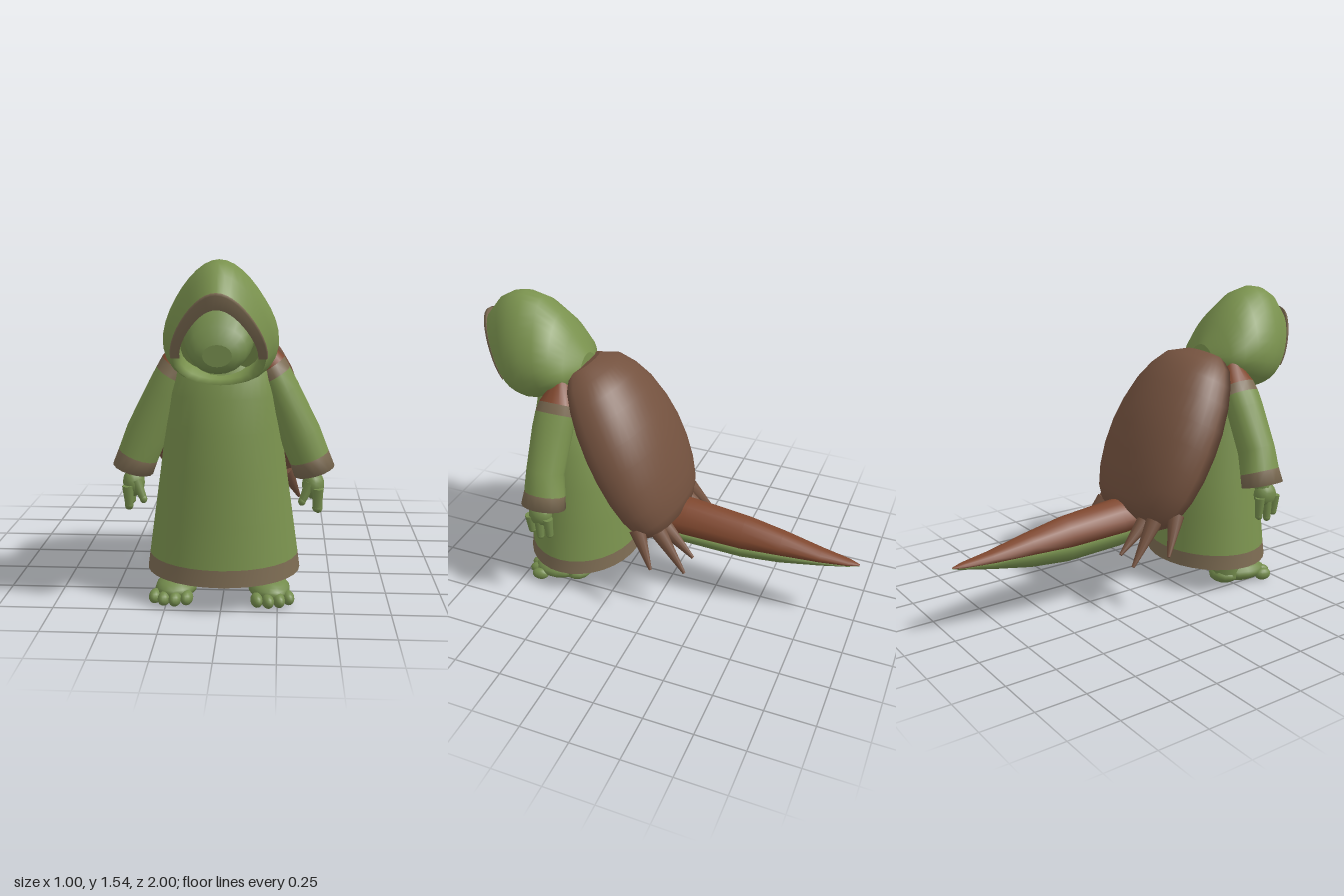
import * as THREE from 'three';

const material = (name, color, side = THREE.FrontSide) => {
  const m = new THREE.MeshStandardMaterial({ color, side });
  m.name = name;
  return m;
};

const V = (x, y, z) => new THREE.Vector3(x, y, z);

// Skin a list of point rings; faces are turned outward from the centroid
function loft(rings, { closed = true, capStart = false, capEnd = false } = {}) {
  const pos = [], idx = [], n = rings[0].length;
  const centre = V(0, 0, 0);
  rings.forEach(r => r.forEach(p => { pos.push(p.x, p.y, p.z); centre.add(p); }));
  centre.divideScalar(rings.length * n);
  for (let i = 0; i < rings.length - 1; i++) {
    for (let j = 0; j < (closed ? n : n - 1); j++) {
      const a = i * n + j, b = i * n + (j + 1) % n;
      idx.push(a, b, a + n, b, b + n, a + n);
    }
  }
  const cap = (ring, flip) => {
    const base = pos.length / 3, mid = V(0, 0, 0);
    ring.forEach(p => { pos.push(p.x, p.y, p.z); mid.add(p); });
    mid.divideScalar(n);
    pos.push(mid.x, mid.y, mid.z);
    for (let j = 0; j < n; j++) {
      const a = base + j, b = base + (j + 1) % n;
      idx.push(...(flip ? [b, a, base + n] : [a, b, base + n]));
    }
  };
  if (capStart) cap(rings[0], true);
  if (capEnd) cap(rings[rings.length - 1], false);
  const at = i => V(pos[3 * i], pos[3 * i + 1], pos[3 * i + 2]).sub(centre);
  let volume = 0;
  for (let i = 0; i < idx.length; i += 3) volume += at(idx[i]).dot(at(idx[i + 1]).cross(at(idx[i + 2])));
  if (volume < 0) idx.reverse();
  const g = new THREE.BufferGeometry();
  g.setAttribute('position', new THREE.Float32BufferAttribute(pos, 3));
  g.setIndex(idx);
  g.computeVertexNormals();
  return g;
}

// Points of an arc, made by f(angle)
const arc = (n, from, to, f, closed = true) =>
  Array.from({ length: n }, (_, i) => f(from + (to - from) * i / (closed ? n : n - 1)));
const TAU = Math.PI * 2;

export function createModel() {
  const model = new THREE.Group();
  const cloth = material('green cloth', 0x7a924e);
  const hoodCloth = material('green hood cloth', 0x7a924e, THREE.DoubleSide);
  const skin = material('green skin', 0x738b4c);
  const trim = material('tan trim', 0x7c6b52, THREE.DoubleSide);
  const shellBrown = material('shell brown', 0x74523f);
  const rust = material('rust brown', 0x80482f);

  const add = (name, geometry, mat, parent = model) => {
    const mesh = new THREE.Mesh(geometry, mat);
    mesh.name = name;
    parent.add(mesh);
    return mesh;
  };
  const blob = (name, mat, parent, p, r) => {
    const m = add(name, new THREE.SphereGeometry(1, 14, 10), mat, parent);
    m.position.set(...p);
    m.scale.set(...r);
    return m;
  };
  // Tapered limb between two points
  const limb = (name, mat, parent, a, b, r0, r1) => {
    const from = V(...a), dir = V(...b).sub(from), len = dir.length();
    const m = add(name, new THREE.CylinderGeometry(r1, r0, len, 9), mat, parent);
    m.position.copy(from).addScaledVector(dir, 0.5);
    m.quaternion.setFromUnitVectors(V(0, 1, 0), dir.normalize());
    return m;
  };

  // Robe: stacked ellipses [y, centre z, half width, half depth]
  const robeRing = ([y, cz, rx, rz]) => arc(32, 0, TAU, a => V(rx * Math.cos(a), y, cz + rz * Math.sin(a)));
  const hem = [[0.13, 0.505, 0.35, 0.295], [0.205, 0.505, 0.34, 0.287]];
  add('robeHem', loft(hem.map(robeRing)), trim);
  const base = new THREE.Shape().absellipse(0, 0, 0.35, 0.295, 0, TAU);
  const underside = add('robeUnderside', new THREE.ShapeGeometry(base, 32), cloth);
  underside.rotation.x = Math.PI / 2;
  underside.position.set(0, 0.131, 0.505);
  add('robe', loft([hem[1], [0.4, 0.507, 0.313, 0.27], [0.6, 0.512, 0.285, 0.253], [0.8, 0.53, 0.258, 0.22],
    [0.95, 0.55, 0.238, 0.175], [1.05, 0.55, 0.215, 0.155], [1.14, 0.55, 0.16, 0.12]].map(robeRing),
  { capEnd: true }), cloth);

  // Hood: slanted egg-shaped rings [top y, top z, bottom y, bottom z, half width]
  const hoodRing = (from = 0, to = TAU, n = 32, closed = true) => ([ty, tz, by, bz, w]) =>
    arc(n, from, to, a => {
      const f = (1 - Math.cos(a)) / 2;
      return V(w * Math.sin(a - 0.35 * Math.sin(a)), ty + (by - ty) * f, tz + (bz - tz) * f);
    }, closed);
  const rimOuter = [1.395, 0.985, 1.015, 0.745, 0.195], rimInner = [1.355, 0.965, 1.04, 0.745, 0.165];
  add('hood', loft([rimOuter, [1.49, 0.91, 1.01, 0.71, 0.227], [1.53, 0.84, 1.012, 0.69, 0.24],
    [1.542, 0.77, 1.02, 0.65, 0.247], [1.52, 0.68, 1.05, 0.59, 0.245], [1.45, 0.59, 1.08, 0.53, 0.23],
    [1.36, 0.52, 1.12, 0.48, 0.185], [1.26, 0.455, 1.16, 0.45, 0.09]].map(hoodRing()), { capEnd: true }), hoodCloth);
  add('hoodLining', loft([rimOuter, rimInner, [1.39, 0.82, 1.06, 0.66, 0.17]].map(hoodRing()),
    { capEnd: true }), hoodCloth);
  add('hoodTrim', loft([[1.42, 0.985, 1.015, 0.742, 0.203], [1.41, 1.0, 1.015, 0.752, 0.197],
    [1.352, 0.973, 1.04, 0.752, 0.163]].map(hoodRing(-1.95, 1.95, 25, false)), { closed: false }), trim);

  // Face with a blunt snout: [z, bottom y, top y, half width]
  add('face', loft([[0.932, 1.12, 1.21, 0.06], [0.922, 1.1, 1.24, 0.09], [0.9, 1.087, 1.28, 0.118],
    [0.86, 1.085, 1.34, 0.138], [0.79, 1.09, 1.38, 0.148], [0.68, 1.1, 1.38, 0.145]].map(([z, b, t, w]) =>
    arc(20, 0, TAU, a => V(w * Math.cos(a), (b + t) / 2 + (t - b) / 2 * Math.sin(a), z))),
  { capStart: true, capEnd: true }), skin);

  // Shell: domed sections along a sloping flat back [distance, thickness, half width]
  const shellRing = ([u, t, w]) => arc(24, 0, Math.PI, a => {
    const h = t * Math.pow(Math.max(Math.sin(a), 0), 0.8);
    return V(w * Math.cos(a), 1.18 - 0.87 * u + 0.49 * h, 0.48 - 0.49 * u - 0.87 * h);
  }, false);
  add('shell', loft([[-0.02, 0.09, 0.13], [0.036, 0.18, 0.215], [0.12, 0.225, 0.27], [0.22, 0.253, 0.315],
    [0.35, 0.265, 0.35], [0.47, 0.263, 0.365], [0.6, 0.245, 0.365], [0.72, 0.218, 0.345], [0.82, 0.185, 0.305],
    [0.88, 0.145, 0.255], [0.92, 0.065, 0.18]].map(shellRing), { capStart: true, capEnd: true }), shellBrown);

  // Tail: rust top and green belly [z, top y, seam y, bottom y, half width]
  const tailRows = [[0.3, 0.5, 0.42, 0.345, 0.12], [0.1, 0.52, 0.41, 0.305, 0.12], [-0.1, 0.52, 0.385, 0.28, 0.115],
    [-0.4, 0.49, 0.37, 0.265, 0.1], [-0.6, 0.45, 0.37, 0.282, 0.08], [-0.8, 0.405, 0.365, 0.32, 0.052],
    [-0.94, 0.383, 0.365, 0.35, 0.028], [-0.995, 0.37, 0.366, 0.362, 0.006]];
  const tailRing = top => ([z, t, s, b, w]) => arc(9, 0, Math.PI, a =>
    V(w * Math.cos(a), s + ((top ? t : b) - s) * Math.sin(a), z), false);
  add('tailTop', loft(tailRows.map(tailRing(true))), rust);
  add('tailBelly', loft(tailRows.map(tailRing(false))), skin);

  for (const s of [1, -1]) {
    const side = s > 0 ? 'left' : 'right';

    // Sleeve: rings [outer x, outer y, inner x, inner y, centre z, half depth]
    const sleeveRing = ([ox, oy, ix, iy, cz, rz]) => arc(16, 0, TAU, a => {
      const k = (1 + Math.cos(a)) / 2;
      return V(s * (ix + (ox - ix) * k), iy + (oy - iy) * k, cz + rz * Math.sin(a));
    });
    const rows = [[0.19, 1.19, 0.12, 1.1, 0.52, 0.05], [0.27, 1.11, 0.15, 1.03, 0.52, 0.095],
      [0.295, 1.065, 0.17, 0.99, 0.525, 0.103], [0.33, 1.0, 0.2, 0.9, 0.53, 0.104],
      [0.43, 0.8, 0.26, 0.72, 0.54, 0.095], [0.472, 0.69, 0.3, 0.625, 0.53, 0.105],
      [0.5, 0.62, 0.32, 0.567, 0.53, 0.115], [0.46, 0.635, 0.35, 0.595, 0.53, 0.07]];
    const sleeve = (name, a, b, mat, opts) => add(side + name, loft(rows.slice(a, b).map(sleeveRing), opts), mat);
    sleeve('ShoulderStrap', 0, 2, rust, { capStart: true });
    sleeve('StrapEdge', 1, 3, trim);
    sleeve('Sleeve', 2, 6, cloth);
    sleeve('Cuff', 5, 8, trim, { capEnd: true });

    // Hand with three fingers and a thumb
    const hand = new THREE.Group();
    hand.name = side + 'Hand';
    model.add(hand);
    limb('wrist', skin, hand, [s * 0.385, 0.66, 0.54], [s * 0.4, 0.55, 0.55], 0.045, 0.042);
    blob('palm', skin, hand, [s * 0.405, 0.535, 0.555], [0.05, 0.065, 0.062]);
    [[0.425, 0.42, 0.5], [0.43, 0.405, 0.55], [0.42, 0.425, 0.6]].forEach(([x, y, z]) => {
      limb('finger', skin, hand, [s * 0.425, 0.53, z + 0.004], [s * x, y + 0.015, z], 0.026, 0.019);
      blob('fingertip', skin, hand, [s * x, y + 0.015, z], [0.019, 0.019, 0.019]);
    });
    limb('thumb', skin, hand, [s * 0.39, 0.55, 0.59], [s * 0.355, 0.47, 0.605], 0.026, 0.016);
    blob('thumbTip', skin, hand, [s * 0.355, 0.47, 0.605], [0.017, 0.02, 0.017]);

    // Leg and foot, turned slightly outward
    const leg = new THREE.Group();
    leg.name = side + 'Foot';
    leg.position.set(s * 0.195, 0, 0.49);
    leg.rotation.y = s * 0.18;
    model.add(leg);
    limb('ankle', skin, leg, [0, 0.04, 0], [0, 0.2, 0], 0.08, 0.085);
    blob('heel', skin, leg, [0, 0.048, -0.01], [0.082, 0.046, 0.08]);
    blob('instep', skin, leg, [0, 0.055, 0.09], [0.095, 0.053, 0.13]);
    [[-0.072, 0.19], [-0.025, 0.208], [0.025, 0.205], [0.072, 0.18]].forEach(([x, z]) =>
      blob('toe', skin, leg, [x, 0.034, z], [0.028, 0.032, 0.045]));

    // Ragged points along the lower edge of the shell
    [[[0.28, 0.48, 0.08], [0.355, 0.31, -0.02]], [[0.22, 0.45, -0.01], [0.26, 0.26, -0.165]],
      [[0.15, 0.43, -0.02], [0.175, 0.3, -0.18]]].forEach(([a, b]) =>
      limb(side + 'ShellPoint', shellBrown, model, [s * a[0], a[1], a[2]], [s * b[0], b[1], b[2]], 0.042, 0.008));
  }
  return model;
}
